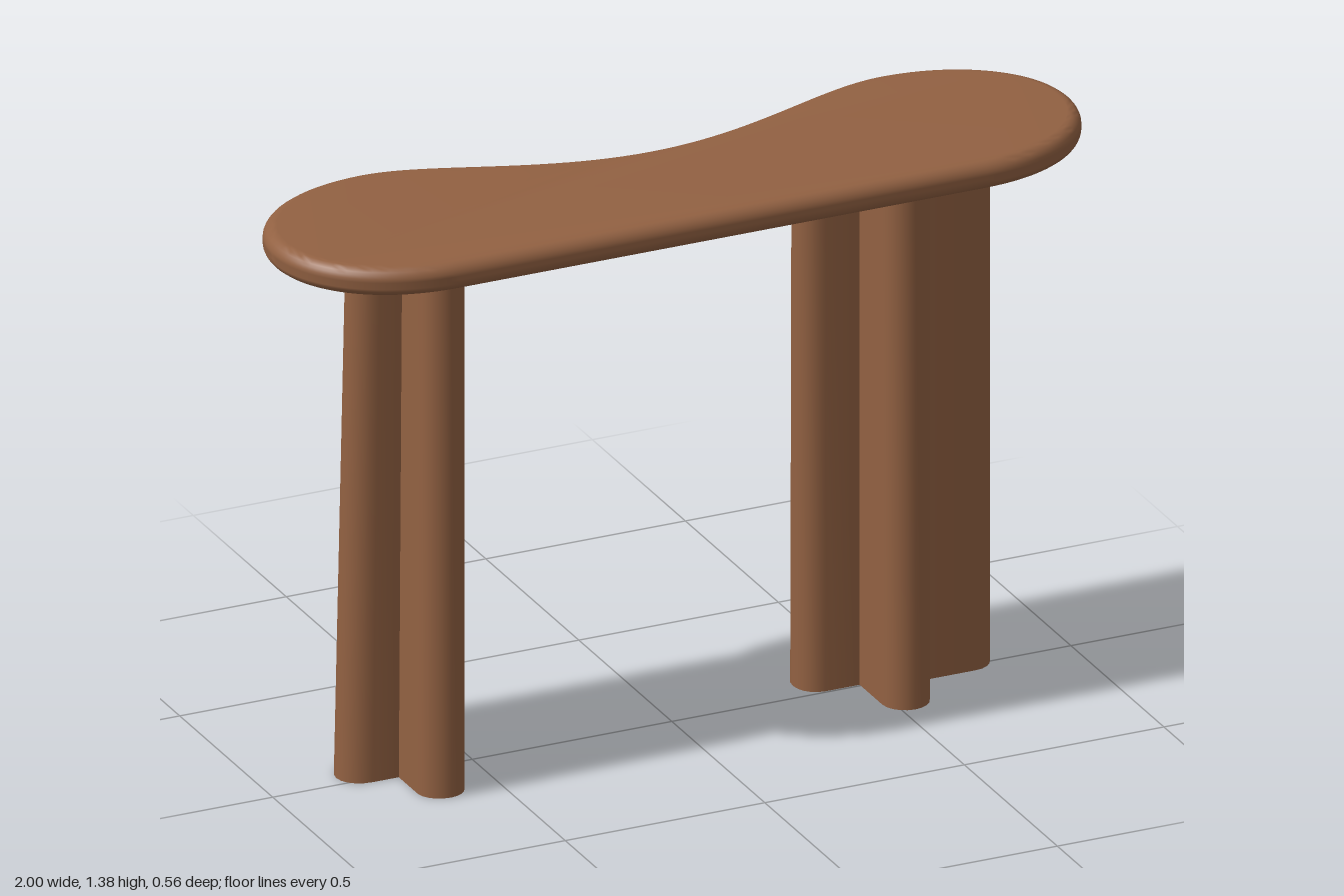
import * as THREE from 'three';
import { toCreasedNormals } from 'three/addons/utils/BufferGeometryUtils.js';

const LEG_TOP = 1.315;
const WALL = 0.015;
const ORIGIN = new THREE.Vector2();

// Plan point in the frame of arm i (0 left, 1 back, 2 right, 3 front), with v = -z
const inArm = (i, along, across) =>
  new THREE.Vector2(along, across).rotateAround(ORIGIN, i * Math.PI / 2);

// Half circle in an arm's frame, bulging outwards (side 1) or inwards (side -1)
function halfRound(i, centre, offset, radius, side) {
  const pts = [];
  for (let k = 0; k <= 10; k++) {
    const a = (k / 10 - 0.5) * Math.PI;
    pts.push(inArm(i, centre + side * radius * Math.cos(a), offset + side * radius * Math.sin(a)));
  }
  return pts;
}

// Hollow leg with round-ended arms; spread widens an arm towards the floor
function makeLeg(name, x, z, arms, spread, material) {
  const outline = [];
  const holes = [];
  arms.forEach(({ reach, half, offset }, i) => {
    if (reach) {
      outline.push(...halfRound(i, reach - half, offset, half, 1));
      const r = half - WALL;
      holes.push(new THREE.Path([
        ...halfRound(i, reach - half, offset, r, 1),
        ...halfRound(i, 0.055 + r, offset, r, -1),
      ]));
    }
    // inner corner between this arm and the next
    const next = arms[(i + 1) % 4];
    outline.push(inArm(i, next.half - next.offset, offset + half));
  });
  // central duct
  holes.push(new THREE.Path([0, 1, 2, 3].map((i) => inArm(i, 0.038, 0.038))));

  const shape = new THREE.Shape(outline);
  shape.holes = holes;
  let geo = new THREE.ExtrudeGeometry(shape, { depth: LEG_TOP, bevelEnabled: false });
  geo.rotateX(-Math.PI / 2);

  const p = geo.attributes.position;
  for (let i = 0; i < p.count; i++) {
    const t = 1 - p.getY(i) / LEG_TOP;
    const px = p.getX(i), pz = p.getZ(i);
    if (px < 0) p.setX(i, px * (1 + spread.side * t / arms[2].reach));
    if (pz < 0) p.setZ(i, pz * (1 + spread.back * t / arms[1].reach));
  }
  geo = toCreasedNormals(geo, 0.6);
  const mesh = new THREE.Mesh(geo, material);
  mesh.name = name;
  mesh.position.set(x, 0, z);
  return mesh;
}

// Kidney-shaped top with a straight front and a bullnose edge
function makeTop(material) {
  const s = new THREE.Shape();
  s.moveTo(-0.66, -0.282);
  s.lineTo(0.66, -0.282);
  s.bezierCurveTo(0.87, -0.282, 1, -0.15, 1, 0);
  s.bezierCurveTo(1, 0.16, 0.85, 0.283, 0.65, 0.283);
  s.bezierCurveTo(0.48, 0.283, 0.27, 0.125, 0, 0.125);
  s.bezierCurveTo(-0.27, 0.125, -0.48, 0.283, -0.65, 0.283);
  s.bezierCurveTo(-0.85, 0.283, -1, 0.16, -1, 0);
  s.bezierCurveTo(-1, -0.15, -0.87, -0.282, -0.66, -0.282);
  const r = 0.031;
  let geo = new THREE.ExtrudeGeometry(s, {
    depth: 0.071 - 2 * r, curveSegments: 24,
    bevelThickness: r, bevelSize: r, bevelOffset: -r, bevelSegments: 6,
  });
  geo.rotateX(-Math.PI / 2);
  geo = toCreasedNormals(geo, 0.7);
  const mesh = new THREE.Mesh(geo, material);
  mesh.name = 'tableTop';
  mesh.position.y = 1.306 + r;
  return mesh;
}

export function createModel() {
  const group = new THREE.Group();
  group.name = 'consoleTable';
  const wood = new THREE.MeshStandardMaterial({ color: 0x926142 });
  wood.name = 'brownWood';

  group.add(makeTop(wood));
  // Arms in order: left, back, right, front
  group.add(makeLeg('crossLeg', 0.53, -0.022, [
    { reach: 0.272, half: 0.055, offset: 0 },
    { reach: 0.225, half: 0.05, offset: -0.07 },
    { reach: 0.197, half: 0.055, offset: -0.038 },
    { reach: 0.195, half: 0.057, offset: 0 },
  ], { side: 0, back: 0.027 }, wood));
  group.add(makeLeg('teeLeg', -0.638, -0.022, [
    { reach: 0, half: 0, offset: 0.05 },
    { reach: 0.225, half: 0.048, offset: -0.013 },
    { reach: 0.158, half: 0.055, offset: -0.013 },
    { reach: 0.195, half: 0.052, offset: 0.005 },
  ], { side: 0.028, back: 0.03 }, wood));
  return group;
}
